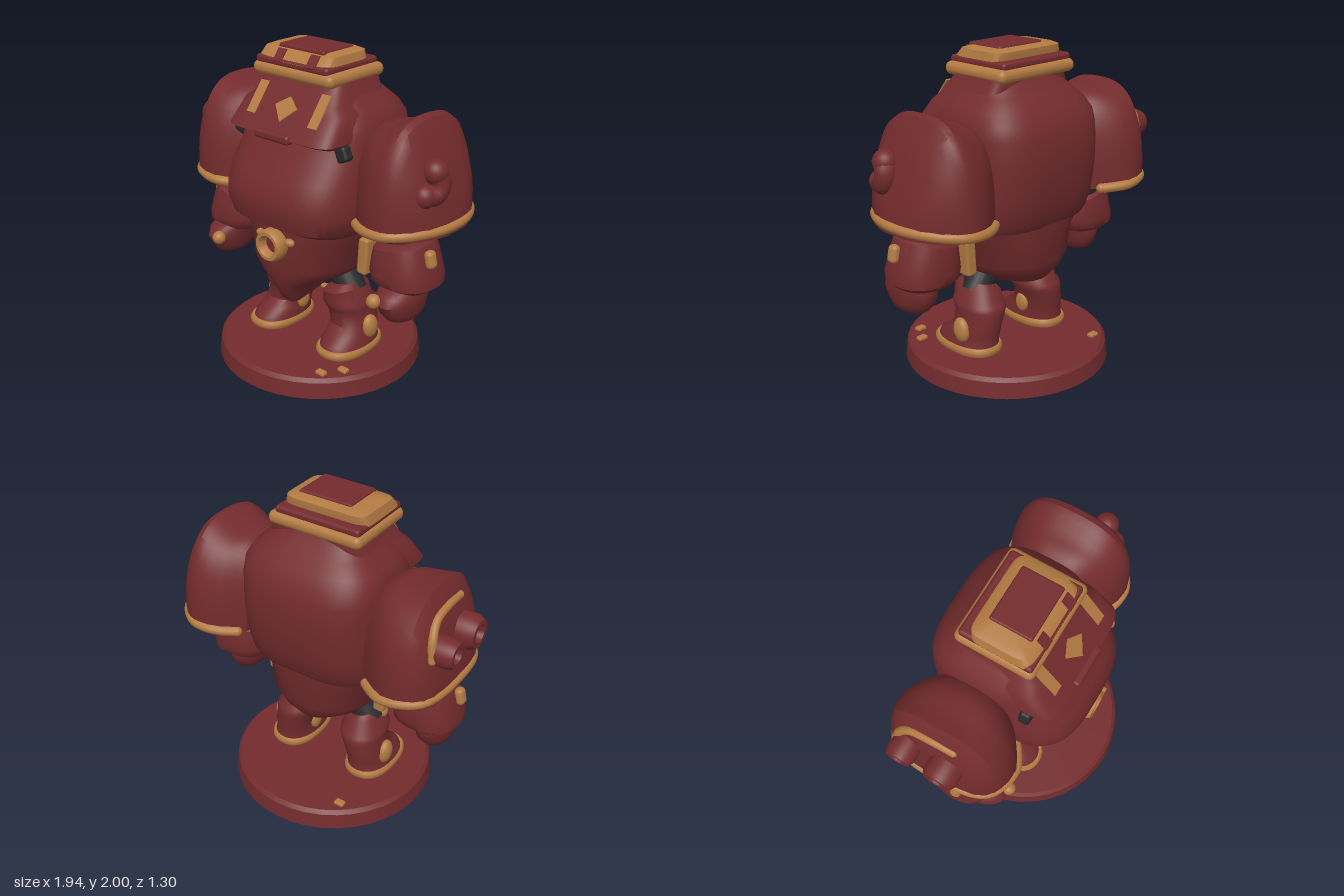
import * as THREE from 'three';
import { toCreasedNormals } from 'three/addons/utils/BufferGeometryUtils.js';
import { RoundedBoxGeometry } from 'three/addons/geometries/RoundedBoxGeometry.js';

const mat = (name, color) => Object.assign(new THREE.MeshStandardMaterial({ color }), { name });

// Skin a list of closed rings and cap both ends
function skin(rings, crease = 0.7) {
  const n = rings[0].length, pos = [], idx = [];
  rings.forEach(r => r.forEach(p => pos.push(...p)));
  for (let i = 0; i < rings.length - 1; i++)
    for (let j = 0; j < n; j++) {
      const a = i * n + j, b = i * n + (j + 1) % n;
      idx.push(a, a + n, b, b, a + n, b + n);
    }
  [0, rings.length - 1].forEach(i => {
    const c = [0, 1, 2].map(k => rings[i].reduce((s, p) => s + p[k], 0) / n);
    const ci = pos.length / 3;
    pos.push(...c);
    for (let j = 0; j < n; j++) {
      const a = i * n + j, b = i * n + (j + 1) % n;
      idx.push(...(i === 0 ? [ci, a, b] : [ci, b, a]));
    }
  });
  const g = new THREE.BufferGeometry();
  g.setAttribute('position', new THREE.Float32BufferAttribute(pos, 3));
  g.setIndex(idx);
  return toCreasedNormals(g, crease);
}

const pw = (v, n) => Math.sign(v) * Math.pow(Math.abs(v), 2 / n);

// Superellipse rings rising in y; row = [y, half width, front z, back z, centre x, sideways slope]
function stack(rows, n = 2, seg = 48) {
  return skin(rows.map(([y, w, zf, zb, cx = 0, tilt = 0]) => Array.from({ length: seg }, (_, j) => {
    const t = j / seg * Math.PI * 2, x = w * pw(Math.cos(t), n);
    return [cx + x, y + tilt * x, (zf + zb) / 2 + (zf - zb) / 2 * pw(Math.sin(t), n)];
  })));
}

// Turned part from [radius, height] pairs
const lathe = pts => toCreasedNormals(
  new THREE.LatheGeometry(pts.map(p => new THREE.Vector2(...p)), 40), 0.6);

export function createModel() {
  const model = new THREE.Group();
  const red = mat('dark red armour', 0x732b2d);
  const gold = mat('bronze trim', 0xb27a42);
  const black = mat('black joints', 0x262829);

  const add = (name, geo, m, p = [0, 0, 0], r = [0, 0, 0], s = [1, 1, 1]) => {
    const mesh = new THREE.Mesh(geo, m);
    mesh.name = name;
    mesh.position.set(...p);
    mesh.rotation.set(...r);
    mesh.scale.set(...s);
    model.add(mesh);
  };
  const box = (w, h, d, r = 0.02) => new RoundedBoxGeometry(w, h, d, 3, r);
  const ball = r => new THREE.SphereGeometry(r, 28, 20);
  // Round bar along a smooth path, with a ball at each end
  const bar = (name, pts, r, m, endR = [r, r]) => {
    const curve = new THREE.CatmullRomCurve3(pts.map(p => new THREE.Vector3(...p)));
    add(name, new THREE.TubeGeometry(curve, 64, r, 12), m);
    add(name + 'End', ball(endR[0]), m, pts[0]);
    add(name + 'End', ball(endR[1]), m, pts[pts.length - 1]);
  };

  // Round stand with a few pebbles
  add('base', lathe([[0, 0], [0.65, 0], [0.637, 0.1], [0.615, 0.122], [0, 0.122]]), red);
  [[0.46, 0.3], [0.38, 0.41], [-0.34, -0.44]].forEach(([x, z]) =>
    add('pebble', box(0.065, 0.03, 0.045, 0.01), gold, [x, 0.126, z]));

  // Torso
  add('chest', stack([
    [0.96, 0.43, 0.4, -0.39], [1.0, 0.455, 0.47, -0.415], [1.1, 0.475, 0.5, -0.44],
    [1.18, 0.475, 0.495, -0.455], [1.3, 0.47, 0.45, -0.468], [1.4, 0.46, 0.375, -0.47],
    [1.52, 0.455, 0.32, -0.46], [1.6, 0.445, 0.27, -0.435], [1.67, 0.405, 0.24, -0.39],
    [1.73, 0.34, 0.21, -0.33], [1.78, 0.3, 0.18, -0.27], [1.82, 0.28, 0.16, -0.24]], 3.2, 64), red);
  add('abdomen', stack([
    [0.43, 0.045, 0.29, 0.19], [0.47, 0.08, 0.33, 0.06], [0.53, 0.115, 0.36, -0.14], [0.58, 0.19, 0.38, -0.3],
    [0.64, 0.295, 0.395, -0.345], [0.71, 0.355, 0.41, -0.37], [0.88, 0.375, 0.42, -0.385],
    [0.94, 0.42, 0.425, -0.395], [1.03, 0.43, 0.43, -0.4]], 2.3), red);
  add('hood', stack([
    [1.5, 0.38, 0.35, -0.1], [1.53, 0.41, 0.41, -0.1], [1.67, 0.385, 0.301, -0.2],
    [1.71, 0.34, 0.27, -0.24], [1.83, 0.29, 0.18, -0.24]], 6, 64), red);
  add('hoodLip', box(0.27, 0.055, 0.06), red, [0, 1.53, 0.395]);

  // Painted marks on the sloping hood
  const slope = -Math.atan(0.21 / 0.27);
  [-0.23, 0.25].forEach(x => add('hoodStripe', new THREE.BoxGeometry(0.068, 0.21, 0.009), gold,
    [x, 1.695, 0.279], [slope, 0, 0]));
  const diamond = new THREE.Shape([[0, -0.085], [0.085, 0.01], [0, 0.075], [-0.085, 0.01]]
    .map(p => new THREE.Vector2(...p)));
  add('hoodDiamond', new THREE.ExtrudeGeometry(diamond, { depth: 0.009, bevelEnabled: false }),
    gold, [0.015, 1.672, 0.302], [slope, 0, 0]);

  // Collar and flat head cap
  add('collar', box(0.62, 0.08, 0.49, 0.038), gold, [-0.02, 1.85, -0.01]);
  add('capBand', box(0.56, 0.05, 0.45), red, [-0.03, 1.9, -0.005]);
  add('cap', stack([
    [1.88, 0.26, 0.2, -0.16], [1.91, 0.28, 0.22, -0.17], [1.97, 0.265, 0.17, -0.17],
    [1.985, 0.23, 0.12, -0.14]], 8, 64), gold, [-0.035, 0, 0]);
  add('capTop', box(0.35, 0.03, 0.26, 0.012), red, [-0.01, 1.983, 0.02]);
  [-0.13, 0.125].forEach(x => add('capStripe', new THREE.BoxGeometry(0.065, 0.085, 0.009), red,
    [x, 1.941, 0.196], [-0.69, 0, 0]));

  // Belt ring with lugs
  add('beltRing', lathe([[0.055, 0], [0.09, 0], [0.1, 0.02], [0.1, 0.07], [0.088, 0.09], [0.068, 0.09],
    [0.055, 0.07], [0.055, 0]]), gold, [0.03, 0.88, 0.41], [Math.PI / 2, 0, 0]);
  add('beltSocket', new THREE.CylinderGeometry(0.06, 0.06, 0.05, 32), red, [0.03, 0.88, 0.42], [Math.PI / 2, 0, 0]);
  [-1, 1].forEach(s => add('beltLug', ball(0.025), gold, [0.03 + s * 0.115, 0.915, 0.425], [0, 0, 0], [1.4, 1, 1]));

  // Shoulder pad: arches along x; row = [x, top, half depth]
  const padBase = 1.065, padZ = -0.078;
  const shoulder = (s, rows) => {
    const rings = rows.map(([x, top, hz]) => Array.from({ length: 33 }, (_, j) => {
      const t = j / 32 * Math.PI;
      return [s * x, padBase + (top - padBase) * Math.abs(pw(Math.sin(t), 2.8)), padZ + hz * pw(Math.cos(t), 2.8)];
    }));
    if (s < 0) rings.reverse();
    add('shoulderPad', skin(rings, 0.6), red);
    const side = k => rows.slice(1).map(([x, , hz]) =>
      [s * (x - 0.015), 1.07 + (x - 0.5) * 0.08, padZ + k * (hz - 0.01)]);
    bar('shoulderTrim', [...side(1), ...side(-1).reverse()], 0.031, gold);
    add('shoulderUnderside', new THREE.CylinderGeometry(1, 1, 0.02, 40), black, [s * 0.68, 1.06, padZ],
      [0, 0, 0], [0.18, 1, 0.3]);
  };
  shoulder(1, [[0.42, 1.57, 0.25], [0.48, 1.62, 0.3], [0.55, 1.63, 0.35], [0.62, 1.65, 0.38], [0.68, 1.69, 0.39],
    [0.72, 1.705, 0.39], [0.76, 1.69, 0.378], [0.8, 1.62, 0.355], [0.86, 1.48, 0.3], [0.92, 1.29, 0.2],
    [0.955, 1.13, 0.09]]);
  shoulder(-1, [[0.42, 1.58, 0.25], [0.48, 1.64, 0.3], [0.55, 1.665, 0.35], [0.62, 1.665, 0.385], [0.7, 1.68, 0.385],
    [0.755, 1.695, 0.37], [0.8, 1.62, 0.35], [0.845, 1.5, 0.31], [0.875, 1.3, 0.25], [0.895, 1.13, 0.14]]);

  // Curled horn on the left pad
  bar('padHorn', [[0.865, 1.31, 0.115], [0.895, 1.32, 0.05], [0.9, 1.38, 0.03], [0.885, 1.44, 0.05]],
    0.066, red, [0.07, 0.073]);

  // Twin hollow studs and a hooked trim on the right pad
  const stud = lathe([[0, -0.12], [0.1, -0.12], [0.105, 0.03], [0.085, 0.07], [0.055, 0.07], [0.045, 0.03], [0, 0.03]]);
  [[-0.255, 0.85], [0, 1]].forEach(([z, k]) => add('padStud', stud, red,
    [-0.895, 1.39, z], [0, 0, Math.PI / 2], [k, 1, k]));
  bar('padHook', [[-0.85, 1.36, -0.33], [-0.835, 1.47, -0.31], [-0.815, 1.555, -0.24], [-0.81, 1.58, -0.12],
    [-0.805, 1.575, 0.03]], 0.026, gold);

  // Paired limbs
  [-1, 1].forEach(s => {
    add('shoulderJoint', box(0.08, 0.09, 0.07), black, [s * 0.4, 1.475, 0.245], [0, 0, s * 0.4]);
    add('upperArm', new THREE.CylinderGeometry(0.15, 0.13, 0.24, 28), black, [s * 0.645, 1.0, -0.03], [0, 0, s * 0.15]);
    add('forearm', stack([
      [0.69, 0.17, 0.17, -0.17, s * 0.69], [0.72, 0.205, 0.2, -0.2, s * 0.69], [0.77, 0.21, 0.205, -0.205, s * 0.685],
      [0.88, 0.185, 0.19, -0.195, s * 0.67, s * 0.12], [0.935, 0.17, 0.175, -0.185, s * 0.66, s * 0.22],
      [0.955, 0.145, 0.14, -0.16, s * 0.66, s * 0.22]], 2.4), red);
    add('forearmStud', box(0.06, 0.11, 0.07, 0.028), gold, [s * 0.868, 0.9, 0.03], [0, 0, s * 0.2]);
    add('hand', stack([
      [0.5, 0.05, 0.14, -0.02, s * 0.72], [0.52, 0.085, 0.2, -0.06, s * 0.72], [0.57, 0.11, 0.24, -0.1, s * 0.715],
      [0.63, 0.115, 0.27, -0.12, s * 0.715], [0.68, 0.125, 0.25, -0.12, s * 0.71],
      [0.72, 0.12, 0.19, -0.11, s * 0.7]], 2.1), red);
    add('knuckle', ball(0.043), gold, [s * 0.65, 0.65, 0.265]);
    add('hipPlate', box(0.075, 0.24, 0.19), gold, [s * 0.4, 0.78, -0.02], [0, 0, -s * 0.06]);

    add('thigh', new THREE.CylinderGeometry(0.095, 0.095, 0.28, 24), black, [s * 0.2, 0.6, 0], [0, 0, s * 0.6]);
    add('greave', stack([
      [0.16, 0.145, 0.265, -0.175, s * 0.29], [0.2, 0.14, 0.25, -0.17, s * 0.285], [0.24, 0.13, 0.19, -0.175, s * 0.28],
      [0.29, 0.13, 0.14, -0.18, s * 0.275], [0.37, 0.13, 0.14, -0.19, s * 0.255], [0.4, 0.14, 0.155, -0.19, s * 0.25],
      [0.43, 0.142, 0.17, -0.18, s * 0.245], [0.45, 0.13, 0.17, -0.16, s * 0.24],
      [0.52, 0.115, 0.175, -0.14, s * 0.235, s * 0.2], [0.55, 0.085, 0.13, -0.11, s * 0.235, s * 0.25]], 2.2), red);
    add('sole', stack([
      [0.12, 0.145, 0.27, -0.18], [0.14, 0.155, 0.285, -0.19], [0.16, 0.155, 0.285, -0.19],
      [0.175, 0.145, 0.275, -0.18]], 2.4), gold, [s * 0.29, 0, 0]);
    add('outerShinPlate', ball(1), gold, [s * 0.405, 0.275, -0.015], [0.15, 0, 0], [0.04, 0.08, 0.06]);
    add('innerShinPlate', ball(1), gold, [s * 0.145, 0.28, 0], [0, 0, 0], [0.03, 0.065, 0.05]);
  });
  add('kneeStud', ball(0.045), gold, [-0.325, 0.53, 0.05]);

  return model;
}
